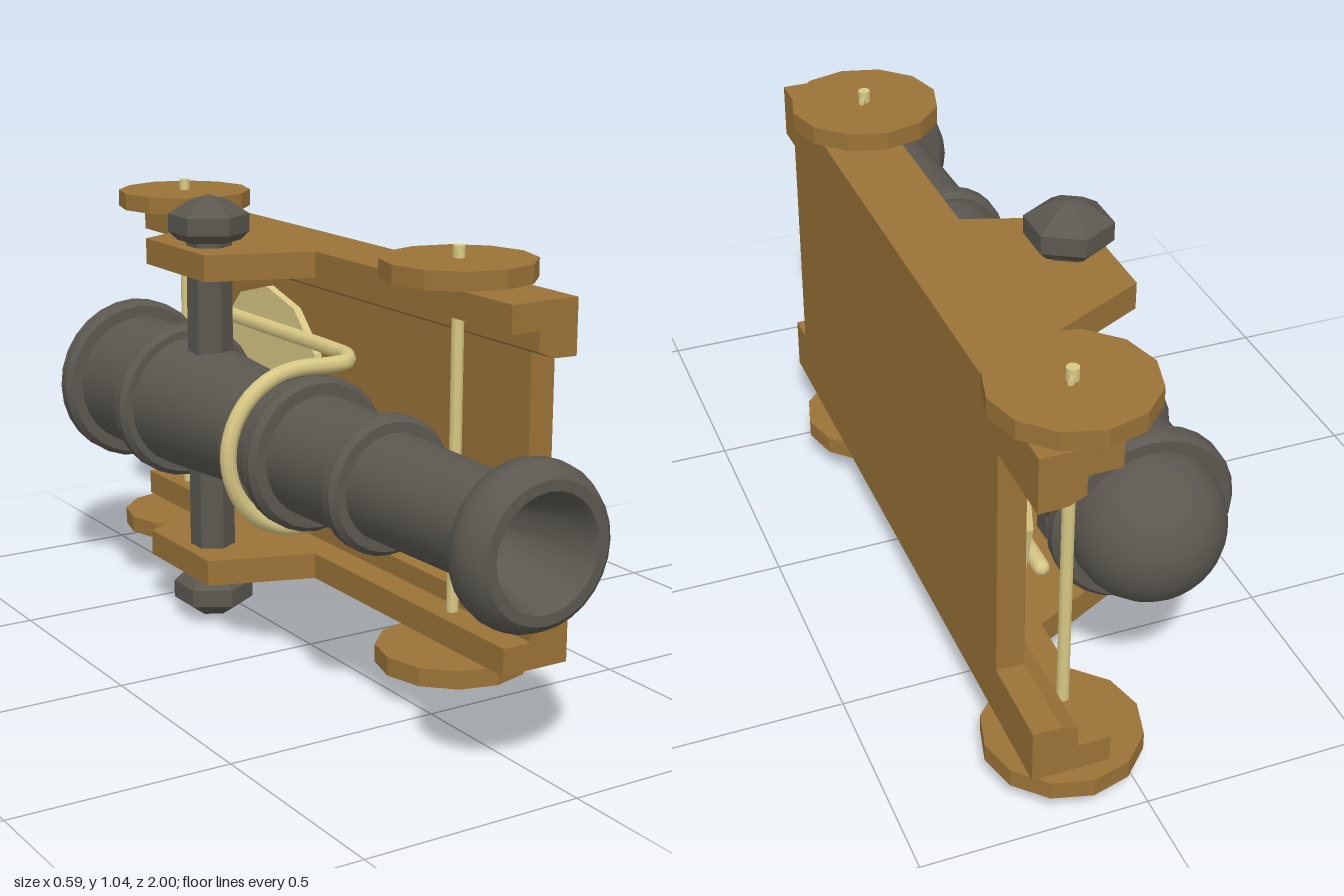
import * as THREE from 'three';
import { toCreasedNormals } from 'three/addons/utils/BufferGeometryUtils.js';

const MID = 0.525;      // height of the symmetry plane
const BARREL_X = -0.09; // barrel axis
const AXLE_X = 0.124;

export function createModel() {
  const group = new THREE.Group();
  const material = (name, color, extra = {}) => {
    const m = new THREE.MeshStandardMaterial({ color, ...extra });
    m.name = name;
    return m;
  };
  const wood = material('wood', 0x9a7337);
  const iron = material('iron', 0x5b5850);
  const brass = material('brass', 0xd8c985);

  const add = (name, geo, mat, x = 0, y = 0, z = 0) => {
    const mesh = new THREE.Mesh(geo, mat);
    mesh.name = name;
    mesh.position.set(x, y, z);
    group.add(mesh);
    return mesh;
  };
  const flat = (geo) => toCreasedNormals(geo, 0.1);
  const box = (name, x0, x1, y0, y1, z0, z1) =>
    add(name, new THREE.BoxGeometry(x1 - x0, y1 - y0, z1 - z0), wood,
      (x0 + x1) / 2, (y0 + y1) / 2, (z0 + z1) / 2);
  // Prism along y from an outline of [x, z] points
  const prism = (outline, depth) => {
    const shape = new THREE.Shape(outline.map(([x, z]) => new THREE.Vector2(x, -z)));
    return new THREE.ExtrudeGeometry(shape, { depth, bevelEnabled: false }).rotateX(-Math.PI / 2);
  };

  // Barrel: rounded breech, raised rings, flared muzzle and tapering bore
  const profile = [];
  for (let i = 0; i <= 8; i++) {
    const a = (i / 8) * Math.PI / 2;
    profile.push([0.165 * Math.sin(a), -0.745 - 0.163 * Math.cos(a)]);
  }
  const ring = (z, r, before, after, h = 0.027) => profile.push(
    [before, z - h], [r - 0.012, z - h], [r, z - h * 0.5],
    [r, z + h * 0.5], [r - 0.012, z + h], [after, z + h]);
  ring(-0.713, 0.203, 0.165, 0.163);
  ring(-0.438, 0.19, 0.163, 0.16);
  ring(0.05, 0.175, 0.13, 0.152);
  ring(0.16, 0.177, 0.152, 0.138);
  ring(0.45, 0.153, 0.132, 0.118);
  profile.push([0.11, 0.885], [0.145, 0.885], [0.168, 0.908], [0.174, 0.935], [0.172, 0.96],
    [0.158, 0.99], [0.145, 1], [0.122, 1], [0.115, 0.985], [0.044, 0.7], [0, 0.7]);
  const barrel = new THREE.LatheGeometry(profile.map(([r, z]) => new THREE.Vector2(r, z)), 28);
  add('barrel', toCreasedNormals(barrel.rotateX(Math.PI / 2), 0.6), iron, BARREL_X, MID, 0);

  // Trunnion bar with faceted end knobs
  add('trunnionBar', flat(new THREE.CylinderGeometry(0.054, 0.054, 0.85, 6)), iron, BARREL_X, MID, -0.31);
  const knob = new THREE.LatheGeometry(
    [[0, 0], [0.075, 0], [0.096, 0.02], [0.096, 0.062], [0.045, 0.095], [0, 0.107]]
      .map(([r, y]) => new THREE.Vector2(r, y)), 6);
  for (const s of [1, -1]) {
    const k = add('trunnionKnob', flat(knob), iron, BARREL_X, MID + s * 0.414, -0.31);
    if (s < 0) k.rotation.x = Math.PI;
  }

  // Carriage bed, cheeks with raised trunnion supports, and inner rails
  box('carriageBed', 0.186, 0.248, 0.14, 0.91, -0.77, 0.578);
  const cheek = prism([[0.248, 0.65], [0.248, -0.97], [0.078, -0.97], [0.078, -0.605],
    [-0.17, -0.48], [-0.17, -0.19], [0.078, -0.105], [0.078, 0.65]], 0.062);
  add('cheek', cheek, wood, 0, 0.863, 0);
  add('cheek', cheek, wood, 0, 0.125, 0);
  for (const s of [1, -1]) {
    const section = [[0.248, 0.275], [0.248, 0.34], [0.15, 0.34], [0.15, 0.293], [0.186, 0.277]];
    const shape = new THREE.Shape(section.map(([x, d]) => new THREE.Vector2(x, s * d)));
    add('innerRail', new THREE.ExtrudeGeometry(shape, { depth: 1.62, bevelEnabled: false }),
      wood, 0, MID, -0.97);
  }

  // Axles, wheels and linchpins
  for (const z of [0.4, -0.83]) {
    add('axle', new THREE.CylinderGeometry(0.014, 0.014, 0.966, 8), brass, AXLE_X, MID, z);
    for (const s of [1, -1]) {
      add('wheel', flat(new THREE.CylinderGeometry(0.172, 0.172, 0.042, 12)), wood, AXLE_X, MID + s * 0.435, z);
      const pin = add('linchpin', new THREE.CylinderGeometry(0.007, 0.007, 0.06, 6), brass,
        AXLE_X, MID + s * 0.466, z);
      pin.rotation.set(Math.PI / 2, 0, Math.PI / 6);
    }
  }

  // Round plate lying above the bed
  add('roundPlate', flat(new THREE.CylinderGeometry(0.26, 0.26, 0.02, 12).rotateZ(Math.PI / 2).rotateX(Math.PI / 2)),
    brass, 0.147, MID, -0.43);

  // Rope looped over the barrel, both ends running back along the carriage
  const leg = (s) => [[0.08, -0.6], [0.08, -0.3], [0.08, -0.05], [0.072, 0.04], [0.03, 0.1], [-0.03, 0.105]]
    .map(([x, z]) => new THREE.Vector3(x, MID + s * 0.182, z));
  const path = leg(1);
  for (let i = 0; i <= 10; i++) {
    const a = Math.PI / 2 + (i / 10) * Math.PI;
    path.push(new THREE.Vector3(BARREL_X + 0.187 * Math.cos(a), MID + 0.184 * Math.sin(a), 0.105));
  }
  path.push(...leg(-1).reverse());
  add('rope', new THREE.TubeGeometry(new THREE.CatmullRomCurve3(path), 90, 0.019, 8), brass);
  for (const s of [1, -1])
    add('ropeEnd', new THREE.SphereGeometry(0.019, 8, 6), brass, 0.08, MID + s * 0.182, -0.6);

  return group;
}
